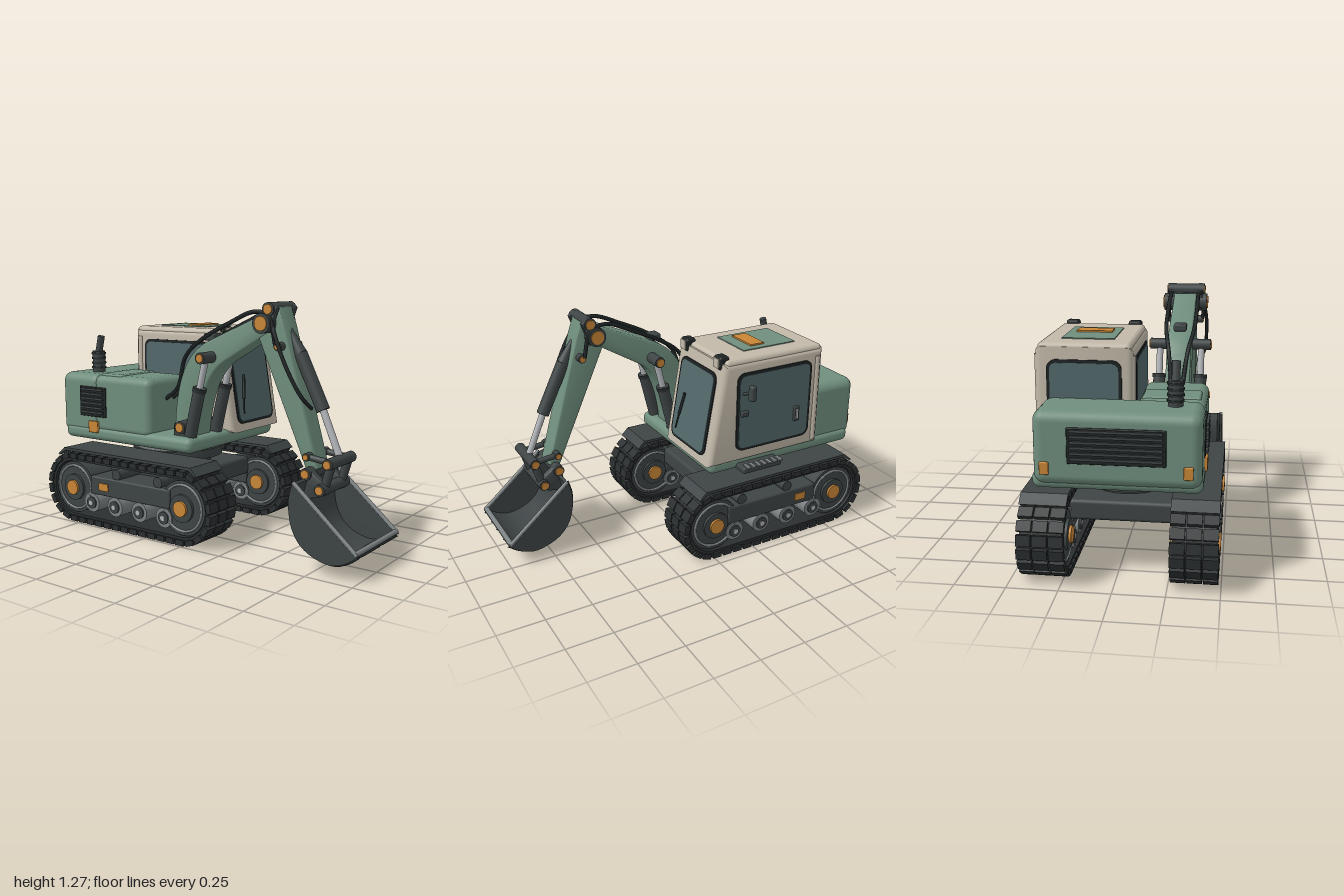
import * as THREE from 'three';
import { mergeGeometries, toCreasedNormals } from 'three/addons/utils/BufferGeometryUtils.js';
import { RoundedBoxGeometry } from 'three/addons/geometries/RoundedBoxGeometry.js';

const paint = (name, color) => Object.assign(new THREE.MeshStandardMaterial({ color }), { name });
const M = {
  green: paint('sage green', 0x6f8e7d), cream: paint('cab cream', 0xc2b9a9), dark: paint('dark steel', 0x3e4445),
  black: paint('track black', 0x2b2f30), seal: paint('window seal', 0x1e2324), glass: paint('tinted glass', 0x53686b),
  orange: paint('amber orange', 0xc98637), silver: paint('rod silver', 0xb4b7bb), grey: paint('mid grey', 0x7c8183),
};
const V = (x, y, z) => new THREE.Vector3(x, y, z);

export function createModel() {
  const root = new THREE.Group();
  root.name = 'excavator';
  const add = (name, geo, mat, parent = root) => {
    const m = new THREE.Mesh(geo, mat);
    m.name = name;
    parent.add(m);
    return m;
  };
  // Box given by its limits on each axis, with optional rounding
  const box = (name, mat, [x0, x1], [y0, y1], [z0, z1], r = 0, parent = root) => {
    const s = [x1 - x0, y1 - y0, z1 - z0];
    const m = add(name, r ? new RoundedBoxGeometry(...s, 4, r) : new THREE.BoxGeometry(...s), mat, parent);
    m.position.set((x0 + x1) / 2, (y0 + y1) / 2, (z0 + z1) / 2);
    return m;
  };
  // Cylinder between two points
  const rod = (name, mat, a, b, r, r2 = r, parent = root) => {
    const m = add(name, new THREE.CylinderGeometry(r2, r, a.distanceTo(b), 24), mat, parent);
    m.position.copy(a).lerp(b, 0.5);
    m.quaternion.setFromUnitVectors(V(0, 1, 0), b.clone().sub(a).normalize());
    return m;
  };
  // Cross pin with orange end caps
  const pin = (name, z, y, r, x0, x1) => {
    rod(name, M.dark, V(x0, y, z), V(x1, y, z), r);
    rod(name + 'Caps', M.orange, V(x0 - 0.006, y, z), V(x1 + 0.006, y, z), r * 0.72);
  };
  // Side profile of [z, y] points, extruded across x
  const slab = (name, mat, pts, x0, x1, b = 0, parent = root) => {
    const shape = pts instanceof THREE.Shape ? pts : new THREE.Shape(pts.map(p => new THREE.Vector2(...p)));
    const geo = new THREE.ExtrudeGeometry(shape, { depth: x1 - x0 - 2 * b, curveSegments: 24, bevelEnabled: b > 0,
      bevelThickness: b, bevelSize: b, bevelOffset: -b, bevelSegments: 4 });
    geo.rotateY(-Math.PI / 2).translate(x1 - b, 0, 0);
    return add(name, toCreasedNormals(geo, 0.6), mat, parent);
  };
  const tube = (name, mat, pts, r, parent = root) =>
    add(name, new THREE.TubeGeometry(new THREE.CatmullRomCurve3(pts), 40, r, 8), mat, parent);

  // ---- Crawler tracks ----
  const ZF = -0.01, ZR = -0.8, RUN = ZF - ZR, YC = 0.2;
  const loop = (path, r) => path.absarc(ZF, YC, r, -Math.PI / 2, Math.PI / 2, false)
    .absarc(ZR, YC, r, Math.PI / 2, Math.PI * 1.5, false);
  const linkGeometry = () => {
    const n = 42, r = 0.184, half = Math.PI * r, total = 2 * (RUN + half), list = [];
    for (let i = 0; i < n; i++) {
      let s = i / n * total, z, y, a;
      if (s < RUN) { z = ZR + s; y = YC - r; a = -Math.PI / 2; }
      else if ((s -= RUN) < half) { a = s / r - Math.PI / 2; z = ZF + r * Math.cos(a); y = YC + r * Math.sin(a); }
      else if ((s -= half) < RUN) { z = ZF - s; y = YC + r; a = Math.PI / 2; }
      else { a = (s - RUN) / r + Math.PI / 2; z = ZR + r * Math.cos(a); y = YC + r * Math.sin(a); }
      for (const k of [-1, 0, 1]) {
        list.push(new THREE.BoxGeometry(0.07, 0.05, 0.03).rotateX(Math.PI / 2 - a + Math.PI / 2 - Math.PI / 2)
          .translate(k * 0.077, y, z));
        list[list.length - 1] = new THREE.BoxGeometry(0.07, 0.03, 0.052).rotateX(Math.PI / 2 - a).translate(k * 0.077, y, z);
      }
    }
    return mergeGeometries(list);
  };
  const links = linkGeometry();
  for (const [side, cx, out] of [['left', 0.335, 1], ['right', -0.375, -1]]) {
    const t = new THREE.Group();
    t.name = side + 'Track';
    t.position.x = cx;
    root.add(t);
    const belt = loop(new THREE.Shape(), 0.178);
    belt.holes.push(loop(new THREE.Path(), 0.155));
    slab('belt', M.black, belt, -0.1, 0.1, 0, t);
    add('trackPads', links, M.black, t);
    for (const z of [ZF, ZR]) {
      rod('wheel', M.dark, V(-0.09, YC, z), V(0.09, YC, z), 0.148, 0.148, t);
      rod('wheelHub', M.dark, V(-0.105, YC, z), V(0.105, YC, z), 0.075, 0.075, t);
      rod('hubCap', M.orange, V(-0.118, YC, z), V(0.118, YC, z), 0.042, 0.042, t);
      for (const s of [-1, 1]) {
        const ring = add('wheelRing', new THREE.TorusGeometry(0.125, 0.007, 8, 40), M.grey, t);
        ring.rotation.y = Math.PI / 2;
        ring.position.set(s * 0.09, YC, z);
      }
    }
    box('trackFrame', M.dark, [-0.1, 0.1], [0.18, 0.285], [-0.67, -0.09], 0.01, t);
    box('frameReflector', M.orange, out > 0 ? [0.1, 0.106] : [-0.106, -0.1], [0.21, 0.252], [-0.6, -0.53], 0, t);
    for (const z of [-0.135, -0.31, -0.49, -0.665]) {
      rod('roller', M.grey, V(-0.095, 0.128, z), V(0.095, 0.128, z), 0.055, 0.055, t);
      rod('rollerHub', M.dark, V(-0.103, 0.128, z), V(0.103, 0.128, z), 0.034, 0.034, t);
      rod('rollerPin', M.silver, V(-0.108, 0.128, z), V(0.108, 0.128, z), 0.014, 0.014, t);
    }
    for (const z of [-0.18, -0.48]) rod('carrierRoller', M.dark, V(-0.09, 0.31, z), V(0.09, 0.31, z), 0.03, 0.03, t);
    slab('fender', M.dark, [[0.1, 0.385], [0.06, 0.427], [-0.86, 0.427], [-0.91, 0.385], [-0.9, 0.38],
      [-0.85, 0.412], [0.05, 0.412], [0.09, 0.38]], -0.113, 0.113, 0, t);
  }

  // ---- Undercarriage and slew ring ----
  box('crossFrame', M.dark, [-0.29, 0.25], [0.24, 0.345], [-0.72, -0.08], 0.02);
  rod('turntableColumn', M.dark, V(-0.01, 0.33, -0.41), V(-0.01, 0.39, -0.41), 0.2);
  rod('turntable', M.dark, V(-0.01, 0.375, -0.41), V(-0.01, 0.425, -0.41), 0.26);
  rod('slewRing', M.grey, V(-0.01, 0.42, -0.41), V(-0.01, 0.48, -0.41), 0.245);

  // ---- Upper body ----
  box('platform', M.green, [-0.41, 0.38], [0.473, 0.555], [-0.93, 0], 0.035);
  box('counterweight', M.green, [-0.405, 0.367], [0.5, 0.85], [-0.955, -0.662], 0.05);
  box('engineHousing', M.green, [-0.405, -0.08], [0.52, 0.85], [-0.7, -0.28], 0.045);
  box('hoodLid', M.green, [-0.38, -0.1], [0.8, 0.857], [-0.66, -0.5], 0.012);
  box('rearGrille', M.seal, [-0.245, 0.205], [0.61, 0.78], [-0.962, -0.95], 0.005);
  box('sideGrille', M.seal, [-0.412, -0.4], [0.61, 0.78], [-0.8, -0.6], 0.005);
  for (let i = 0; i < 6; i++) {
    const y = 0.63 + i * 0.026;
    box('rearSlat', M.dark, [-0.23, 0.19], [y, y + 0.012], [-0.974, -0.96]);
    box('sideSlat', M.dark, [-0.424, -0.41], [y, y + 0.012], [-0.785, -0.615]);
  }
  for (const x of [-0.345, 0.31]) box('rearLamp', M.orange, [x - 0.022, x + 0.022], [0.555, 0.615], [-0.966, -0.95], 0.005);
  box('sideLamp', M.orange, [-0.42, -0.4], [0.52, 0.585], [-0.73, -0.66], 0.005);
  rod('muffler', M.dark, V(-0.27, 0.84, -0.78), V(-0.27, 0.97, -0.78), 0.036);
  for (let i = 0; i < 4; i++) rod('mufflerBand', M.black, V(-0.27, 0.87 + i * 0.027, -0.78), V(-0.27, 0.88 + i * 0.027, -0.78), 0.041);
  rod('exhaustPipe', M.dark, V(-0.27, 0.96, -0.78), V(-0.27, 1.055, -0.757), 0.02);
  box('sideStep', M.dark, [0.36, 0.455], [0.476, 0.512], [-0.41, -0.165], 0.012);
  for (let i = 0; i < 7; i++) box('stepTread', M.grey, [0.415, 0.47], [0.51, 0.518], [-0.405 + i * 0.034, -0.387 + i * 0.034]);

  // ---- Cab ----
  slab('cabShell', M.cream, [[0.027, 0.535], [-0.065, 1.09], [-0.68, 1.09], [-0.68, 0.535]], -0.062, 0.408, 0.03);
  box('cabRoof', M.cream, [-0.052, 0.398], [1.05, 1.108], [-0.678, -0.075], 0.025);
  box('roofHatch', M.green, [0.043, 0.3], [1.1, 1.113], [-0.565, -0.24]);
  box('roofMarker', M.orange, [0.08, 0.26], [1.11, 1.121], [-0.395, -0.31]);
  for (const x of [-0.05, 0.396]) rod('rearPillar', M.cream, V(x, 0.56, -0.645), V(x, 1.05, -0.645), 0.02);
  const plate = (w, h, r, d) => {
    const s = new THREE.Shape(), a = w / 2 - r, b = h / 2 - r;
    s.absarc(a, b, r, 0, Math.PI / 2).absarc(-a, b, r, Math.PI / 2, Math.PI)
      .absarc(-a, -b, r, Math.PI, Math.PI * 1.5).absarc(a, -b, r, Math.PI * 1.5, Math.PI * 2);
    return new THREE.ExtrudeGeometry(s, { depth: d, bevelEnabled: false, curveSegments: 8 });
  };
  const pane = (name, w, h, pos, rx, ry) => {
    const g = new THREE.Group();
    g.name = name;
    g.position.copy(pos);
    g.rotation.set(rx, ry, 0);
    root.add(g);
    add(name + 'Seal', plate(w, h, 0.045, 0.006), M.seal, g);
    add(name + 'Glass', plate(w - 0.03, h - 0.03, 0.033, 0.009), M.glass, g);
    return g;
  };
  const front = pane('windshield', 0.355, 0.46, V(0.172, 0.805, -0.017), -0.164, 0);
  rod('wiper', M.seal, V(-0.085, 0.035, 0.014), V(-0.122, -0.175, 0.014), 0.006, 0.004, front);
  rod('wiperBlade', M.seal, V(-0.08, 0.04, 0.014), V(-0.108, -0.09, 0.014), 0.008, 0.008, front);
  pane('doorWindow', 0.47, 0.435, V(0.408, 0.818, -0.37), 0, Math.PI / 2);
  pane('rightWindow', 0.47, 0.435, V(-0.062, 0.818, -0.37), 0, -Math.PI / 2);
  pane('rearWindow', 0.36, 0.42, V(0.172, 0.82, -0.68), 0, Math.PI);
  box('doorHandle', M.dark, [0.41, 0.428], [0.705, 0.79], [-0.53, -0.495], 0.006);
  box('doorHandleGrip', M.silver, [0.426, 0.434], [0.72, 0.775], [-0.519, -0.506]);
  box('doorHinge', M.dark, [0.405, 0.432], [0.8, 0.83], [-0.2, -0.155], 0.006);
  rod('mirrorArm', M.dark, V(0.405, 0.92, -0.17), V(0.465, 0.945, -0.185), 0.008);
  box('mirror', M.dark, [0.453, 0.493], [0.902, 0.987], [-0.203, -0.17], 0.012);
  for (const x of [0.003, 0.338]) {
    box('workLight', M.seal, [x - 0.035, x + 0.035], [1.055, 1.126], [-0.11, -0.052], 0.014);
    box('workLightLens', M.cream, [x - 0.025, x + 0.025], [1.066, 1.116], [-0.056, -0.046]);
  }

  // ---- Boom and stick ----
  const XC = -0.23;
  const boomShape = new THREE.Shape();
  boomShape.moveTo(-0.2, 0.54);
  boomShape.bezierCurveTo(-0.19, 0.85, -0.12, 1.01, 0.06, 1.075);
  boomShape.lineTo(0.38, 1.215);
  boomShape.lineTo(0.44, 1.17);
  boomShape.lineTo(0.4, 1.115);
  boomShape.lineTo(0.14, 0.96);
  boomShape.bezierCurveTo(0.03, 0.9, -0.03, 0.75, -0.05, 0.54);
  slab('boom', M.green, boomShape, XC - 0.065, XC + 0.065, 0.012);
  for (const s of [-1, 1]) {
    const x = XC + s * 0.105;
    box('boomFootBracket', M.dark, [x - 0.018, x + 0.018], [0.53, 0.62], [-0.16, -0.02], 0.01);
    slab('boomTipPlate', M.dark, [[0.44, 1.27], [0.36, 1.2], [0.36, 1.13], [0.43, 1.12], [0.475, 1.24]], XC + s * 0.085 - 0.014, XC + s * 0.085 + 0.014, 0.004);
    const a = V(XC + s * 0.113, 0.56, -0.05), b = V(XC + s * 0.113, 0.98, 0.055);
    const mid = a.clone().lerp(b, 0.62);
    rod('boomCylinder', M.dark, a, mid, 0.033);
    rod('boomCylinderCollar', M.black, a.clone().lerp(b, 0.57), mid, 0.037);
    rod('boomCylinderRod', M.silver, mid, b, 0.018);
    tube('boomHose', M.seal, [V(XC + s * 0.03, 0.72, -0.3), V(XC + s * 0.03, 0.8, -0.2), V(XC + s * 0.05, 0.97, -0.13),
      V(XC + s * 0.075, 1.07, 0), V(XC + s * 0.08, 1.16, 0.18), V(XC + s * 0.08, 1.22, 0.33),
      V(XC + s * 0.1, 1.2, 0.43), V(XC + s * 0.1, 1.06, 0.47)], 0.011);
  }
  box('boomClamp', M.dark, [XC - 0.035, XC + 0.035], [1.06, 1.1], [-0.02, 0.05], 0.01);
  pin('boomFootPin', -0.11, 0.6, 0.035, XC - 0.13, XC + 0.13);
  pin('boomCylinderPin', 0.055, 0.98, 0.03, -0.395, -0.065);
  slab('stick', M.green, [[0.43, 1.25], [0.385, 1.2], [0.33, 1.12], [0.625, 0.46], [0.66, 0.435], [0.69, 0.47],
    [0.495, 1.16], [0.465, 1.245]], XC - 0.062, XC + 0.062, 0.012);
  pin('elbowPin', 0.4, 1.166, 0.05, -0.355, -0.11);
  pin('stickTopPin', 0.43, 1.235, 0.034, -0.338, -0.128);
  pin('stickCylinderPin', 0.482, 1.055, 0.022, -0.33, -0.13);

  // Bucket cylinder and hose
  const top = V(XC, 1.15, 0.48), knee = V(XC, 0.515, 0.785), gland = V(XC, 0.75, 0.685);
  rod('bucketCylinderNose', M.dark, V(XC, 1.02, 0.553), top, 0.033, 0.012);
  rod('bucketCylinder', M.dark, gland, V(XC, 1.02, 0.553), 0.034);
  rod('bucketCylinderRod', M.silver, knee, gland, 0.018);
  tube('stickHose', M.seal, [V(-0.31, 1.2, 0.43), V(-0.345, 1.1, 0.48), V(-0.35, 0.95, 0.55), V(-0.33, 0.82, 0.62), V(-0.28, 0.76, 0.65)], 0.01);

  // ---- Bucket ----
  const spine = new THREE.SplineCurve([[0.65, 0.43], [0.628, 0.33], [0.65, 0.2], [0.72, 0.11], [0.84, 0.065], [0.93, 0.083], [1, 0.13]]
    .map(p => new THREE.Vector2(...p))).getPoints(28);
  const inner = spine.map(p => new THREE.Vector2(0.82 + (p.x - 0.82) * 0.93, 0.28 + (p.y - 0.28) * 0.93));
  slab('bucketShell', M.dark, new THREE.Shape([...spine, ...inner.reverse()]), -0.45, -0.01);
  for (const x of [-0.455, -0.02]) {
    slab('bucketSide', M.dark, new THREE.Shape(spine), x, x + 0.015);
    rod('bucketSideRim', M.grey, V(x + 0.0075, 0.43, 0.65), V(x + 0.0075, 0.135, 0.993), 0.01);
  }
  rod('bucketLip', M.grey, V(-0.452, 0.138, 0.985), V(-0.008, 0.138, 0.985), 0.014);
  for (const x of [-0.435, -0.32, -0.23, -0.11, -0.025])
    tube('bucketRib', M.black, spine.filter((p, i) => i % 4 === 0).map(p => V(x, p.y, p.x)), 0.009);
  for (const s of [-1, 1]) {
    const x = XC + s * 0.085;
    slab('bucketEar', M.dark, [[0.635, 0.32], [0.63, 0.45], [0.665, 0.48], [0.7, 0.45], [0.77, 0.4], [0.765, 0.36], [0.72, 0.34]], x - 0.022, x + 0.022, 0.006);
    rod('pushLink', M.dark, V(x, 0.385, 0.745), V(x, 0.515, 0.785), 0.022);
    rod('guideLink', M.dark, V(x, 0.53, 0.65), V(x, 0.515, 0.785), 0.016);
  }
  pin('bucketPin', 0.657, 0.45, 0.03, XC - 0.12, XC + 0.12);
  pin('linkPin', 0.745, 0.385, 0.029, -0.365, -0.105);
  pin('kneePin', 0.785, 0.515, 0.028, -0.365, -0.118);
  pin('guidePin', 0.65, 0.53, 0.02, XC - 0.105, XC + 0.105);
  return root;
}
